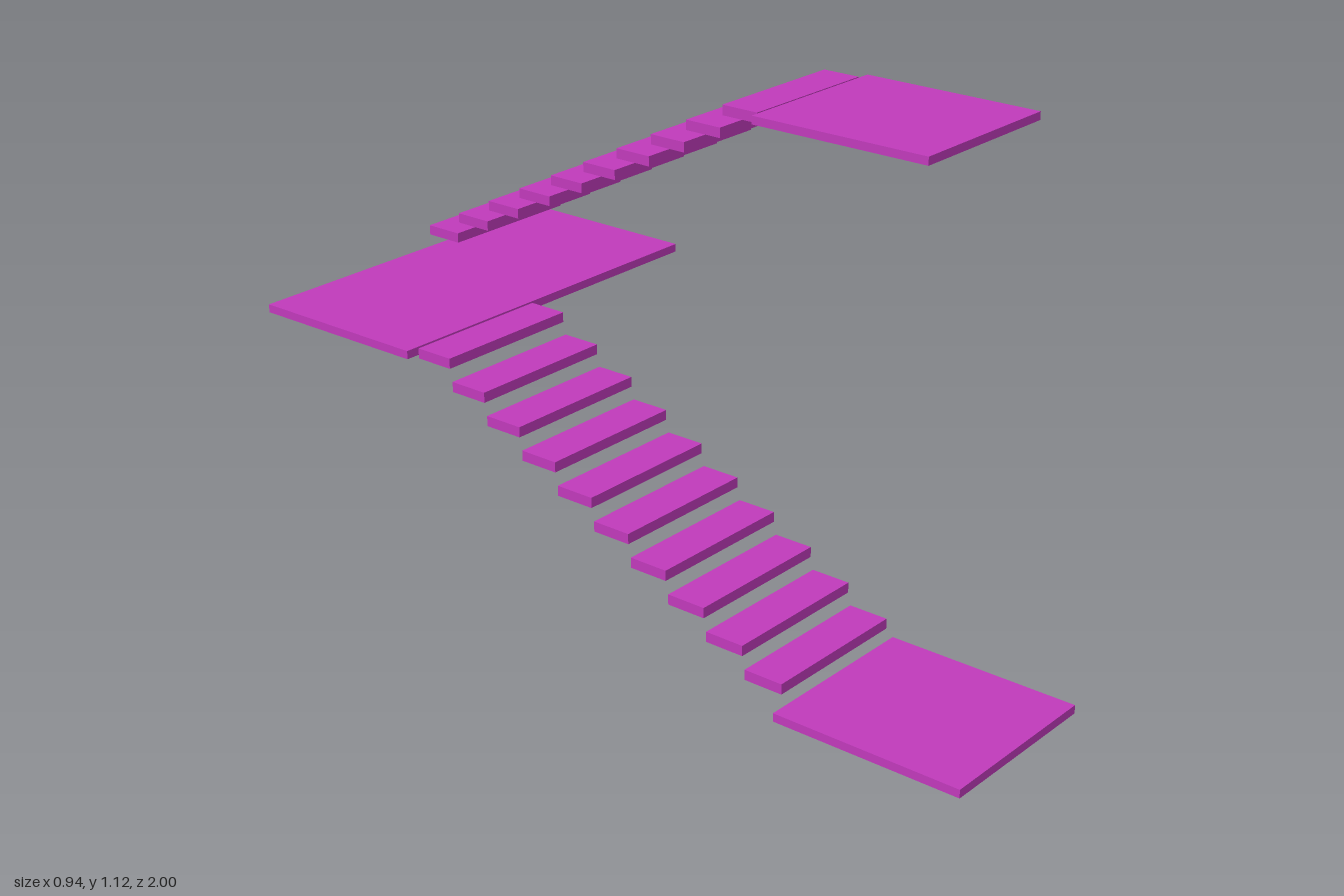
import * as THREE from 'three';

const STEPS = 10;
const RISE = 0.0546;
const RUN = 0.1058;

export function createModel() {
  const model = new THREE.Group();
  model.name = 'staircase';
  const magenta = new THREE.MeshStandardMaterial({ color: 0xc03abb });
  magenta.name = 'magenta';

  // Box slab given by its extents
  function slab(name, parent, x0, x1, y0, y1, z0, z1) {
    const mesh = new THREE.Mesh(new THREE.BoxGeometry(x1 - x0, y1 - y0, z1 - z0), magenta);
    mesh.position.set((x0 + x1) / 2, (y0 + y1) / 2, (z0 + z1) / 2);
    mesh.name = name;
    parent.add(mesh);
  }

  // Flight of floating treads; dir is the z direction of the climb
  function flight(name, x0, x1, y, z, dir) {
    const group = new THREE.Group();
    group.name = name;
    for (let i = 0; i < STEPS; i++) {
      const b = y + i * RISE;
      const a = z + dir * i * RUN;
      const c = a + dir * 0.099;
      slab('tread' + (i + 1), group, x0, x1, b, b + 0.0245, Math.min(a, c), Math.max(a, c));
    }
    model.add(group);
  }

  // Landings
  slab('bottomLanding', model, -0.47, -0.04, 0, 0.02, 0.528, 1);
  slab('middleLanding', model, -0.47, 0.47, 0.548, 0.568, -1, -0.531);
  slab('topLanding', model, 0.04, 0.47, 1.095, 1.115, 0.056, 0.528);

  // Flights
  flight('lowerFlight', -0.442, -0.066, 0.052, 0.528, -1);
  flight('upperFlight', 0.066, 0.442, 0.599, -1, 1);

  return model;
}
